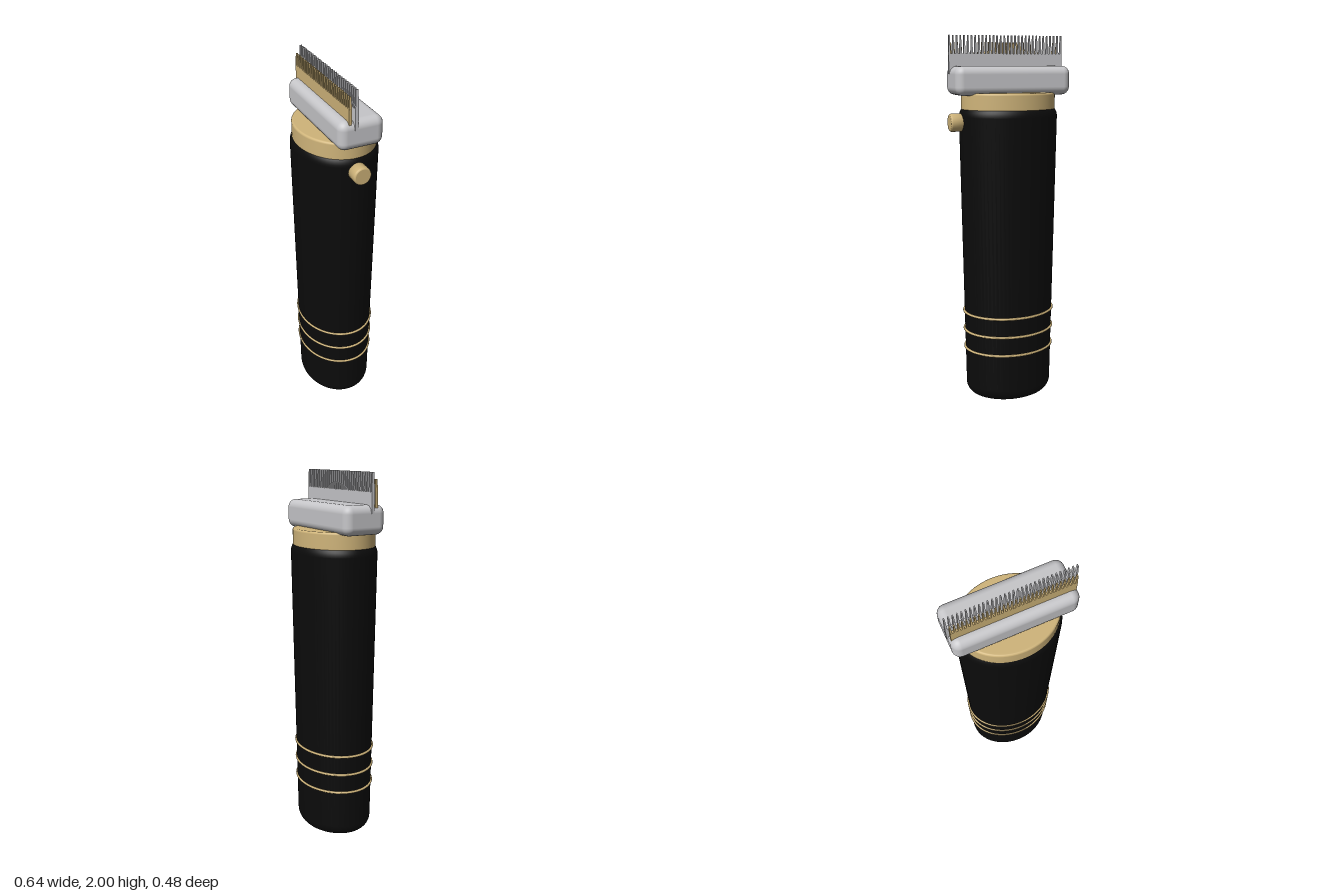
import * as THREE from 'three';
import { RoundedBoxGeometry } from 'three/addons/geometries/RoundedBoxGeometry.js';
import { mergeGeometries } from 'three/addons/utils/BufferGeometryUtils.js';

const DEPTH = 0.8; // depth to width ratio of the oval handle

function material(name, color) {
  const m = new THREE.MeshStandardMaterial({ color });
  m.name = name;
  return m;
}

// Closed oval solid with a straight flank and rounded edges
function ovalSolid(y0, y1, r0, r1, round0, round1) {
  const pts = [new THREE.Vector2(0, y0), new THREE.Vector2((r0 - round0) * 0.97, y0)];
  const steps = 8;
  for (let i = 0; i <= steps; i++) {
    const a = (i / steps) * Math.PI / 2;
    pts.push(new THREE.Vector2(r0 - round0 + round0 * Math.sin(a), y0 + round0 * (1 - Math.cos(a))));
  }
  for (let i = 0; i <= steps; i++) {
    const a = (i / steps) * Math.PI / 2;
    pts.push(new THREE.Vector2(r1 - round1 + round1 * Math.cos(a), y1 - round1 * (1 - Math.sin(a))));
  }
  pts.push(new THREE.Vector2((r1 - round1) * 0.97, y1), new THREE.Vector2(0, y1));
  return new THREE.LatheGeometry(pts, 72).scale(1, 1, DEPTH);
}

// Row of tapered teeth along x
function teethRow(count, halfLength, y0, y1, z, width, depth) {
  const parts = [];
  for (let i = 0; i < count; i++) {
    const g = new THREE.BoxGeometry(width, y1 - y0, depth);
    const p = g.attributes.position;
    for (let v = 0; v < p.count; v++) {
      if (p.getY(v) > 0) p.setXYZ(v, p.getX(v) * 0.5, p.getY(v), p.getZ(v) * 0.7);
    }
    g.computeVertexNormals();
    const x = THREE.MathUtils.lerp(-1, 1, i / (count - 1)) * (halfLength - width / 2);
    g.translate(x, (y0 + y1) / 2, z);
    parts.push(g);
  }
  return mergeGeometries(parts);
}

export function createModel() {
  const black = material('black', 0x0b0b0b);
  const gold = material('gold', 0xcfb47a);
  const silver = material('silver', 0xc6c6c9);

  const model = new THREE.Group();
  model.name = 'hairClipper';
  const clipper = new THREE.Group();
  clipper.name = 'clipper';
  clipper.rotation.y = -0.488; // whole tool stands turned on its axis
  model.add(clipper);

  const add = (name, geometry, mat) => {
    const mesh = new THREE.Mesh(geometry, mat);
    mesh.name = name;
    clipper.add(mesh);
    return mesh;
  };

  // Handle and collar
  add('handle', ovalSolid(0, 1.64, 0.244, 0.269, 0.065, 0.06), black);
  add('collar', ovalSolid(1.61, 1.705, 0.256, 0.256, 0.012, 0.012), gold);

  // Trim rings around the lower handle
  for (const y of [0.28, 0.387, 0.494]) {
    const r = 0.244 + 0.025 * (y / 1.6);
    const ring = new THREE.TorusGeometry(r + 0.002, 0.007, 10, 72);
    ring.rotateX(Math.PI / 2).scale(1, 1, DEPTH).translate(0, y, 0);
    add('trimRing', ring, gold);
  }

  // Head block
  const head = add('head', new RoundedBoxGeometry(0.63, 0.15, 0.238, 5, 0.042), silver);
  head.position.y = 1.767;

  // Moving blade (silver, behind) and fixed blade (gold, in front)
  const blades = [
    { name: 'rearBlade', mat: silver, half: 0.318, z: 0.035, top: 1.905, tip: 2.0, depth: 0.017 },
    { name: 'frontBlade', mat: gold, half: 0.306, z: 0.063, top: 1.905, tip: 1.965, depth: 0.014 },
  ];
  for (const b of blades) {
    const plate = add(b.name, new THREE.BoxGeometry(b.half * 2, b.top - 1.8, b.depth), b.mat);
    plate.position.set(0, (b.top + 1.8) / 2, b.z);
    add(b.name + 'Teeth', teethRow(32, b.half, b.top - 0.005, b.tip, b.z, 0.011, b.depth), b.mat);
  }

  // Side button with a softened rim
  const profile = [[0, 0], [0.048, 0], [0.048, 0.085], [0.046, 0.091], [0.041, 0.095], [0.039, 0.095], [0, 0.095]]
    .map(([x, y]) => new THREE.Vector2(x, y));
  const button = add('sideButton', new THREE.LatheGeometry(profile, 32), gold);
  button.rotation.z = -Math.PI / 2;
  button.position.set(0.232, 1.55, 0);

  return model;
}
